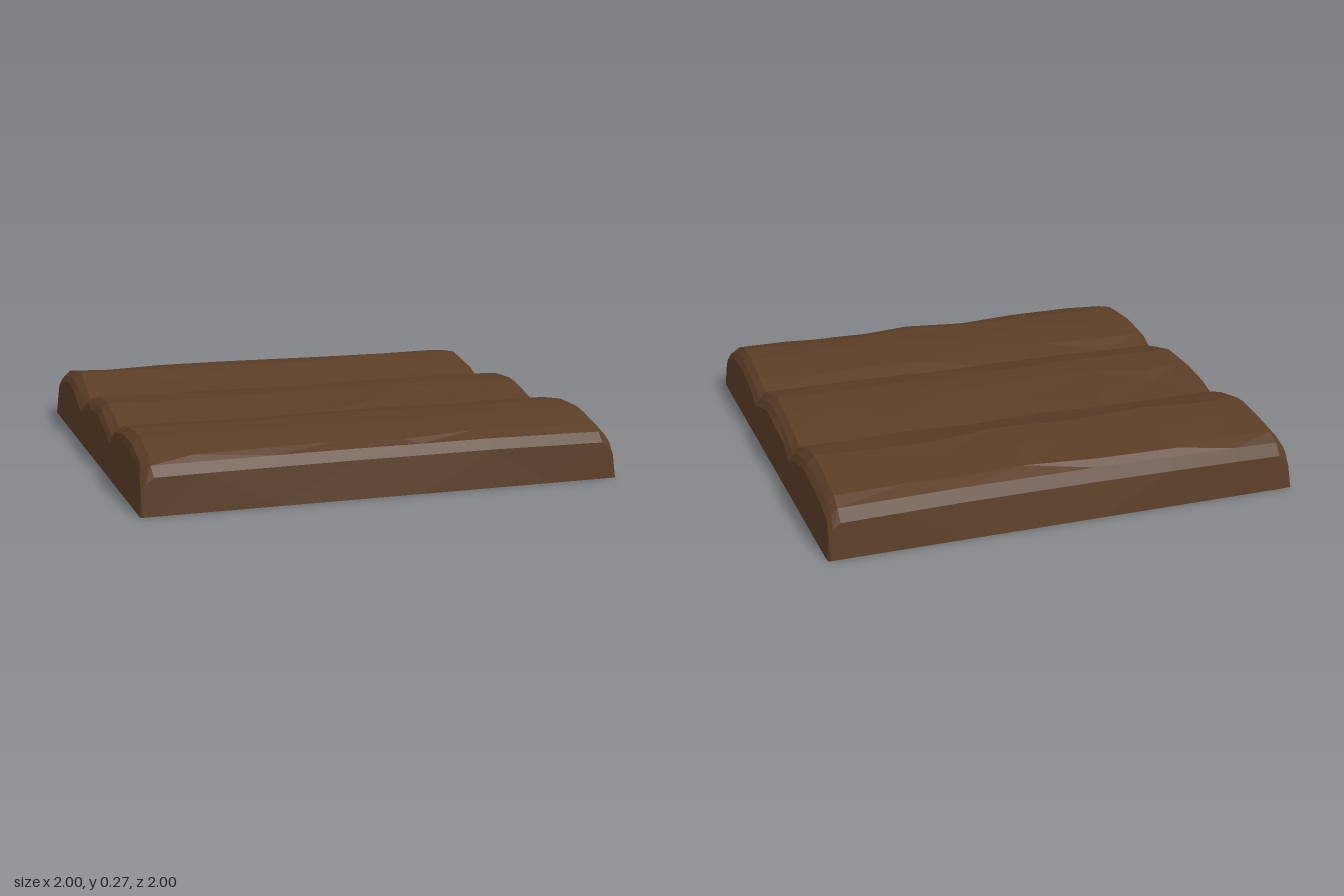
import * as THREE from 'three';

// Profile across the three logs as [z, y], front to back
const PROFILE = [
  [1, 0], [0.99, 0.155], [0.96, 0.195], [0.9, 0.222], [0.76, 0.262], [0.6, 0.264], [0.42, 0.236], [0.325, 0.203],
  [0.2, 0.235], [0.08, 0.264], [-0.08, 0.256], [-0.22, 0.228], [-0.335, 0.203],
  [-0.45, 0.24], [-0.6, 0.272], [-0.74, 0.257], [-0.9, 0.23], [-0.955, 0.2], [-0.985, 0.15], [-1, 0],
];

// Sections along the logs as [x, drop]; the worn ends fall away
const SECTIONS = [
  [-0.99, 0.055], [-0.975, 0.03], [-0.945, 0.006], [-0.75, 0.004], [-0.45, 0.003], [-0.13, 0.002],
  [0.15, 0.002], [0.45, 0], [0.7, 0.002], [0.94, 0.004], [0.97, 0.028], [0.987, 0.055],
];

function seeded(seed) {
  return () => {
    seed = (seed * 16807) % 2147483647;
    return seed / 2147483647 - 0.5;
  };
}

// Hewn upper surface and sides, lofted from the sections
function logGeometry() {
  const rnd = seeded(41);
  const last = PROFILE.length - 1;
  const rows = [
    PROFILE.map(([z]) => [-1, 0, z]),
    ...SECTIONS.map(([x, drop]) => PROFILE.map(([z, y], j) => {
      if (j === 0 || j === last) return [x, 0, z];
      const inner = Math.abs(x) < 0.93 && Math.abs(z) < 0.93;
      const edge = Math.abs(z) > 0.93 ? 0.985 + 0.015 * Math.abs(x) : 1;
      const groove = j === 7 || j === 12;
      const dz = inner ? rnd() * (groove ? 0.02 : 0.07) : 0;
      const dy = inner ? -Math.abs(rnd()) * 0.014 : 0;
      const dx = inner ? rnd() * 0.12 : rnd() * 0.008;
      return [x + dx, y - drop * (groove ? 1.25 : 1) + dy, z * edge + dz];
    })),
    PROFILE.map(([z]) => [1, 0, z]),
  ];
  const index = [];
  const n = PROFILE.length;
  for (let i = 0; i < rows.length - 1; i++) {
    for (let j = 0; j < last; j++) {
      const a = i * n + j, b = a + n;
      if ((i + j) % 2) index.push(a, b, b + 1, a, b + 1, a + 1);
      else index.push(a, b, a + 1, b, b + 1, a + 1);
    }
  }
  const geometry = new THREE.BufferGeometry();
  geometry.setAttribute('position', new THREE.Float32BufferAttribute(rows.flat(2), 3));
  geometry.setIndex(index);
  const flat = geometry.toNonIndexed();
  flat.computeVertexNormals();
  return flat;
}

export function createModel() {
  const group = new THREE.Group();
  group.name = 'logFloor';
  const wood = new THREE.MeshStandardMaterial({ color: 0x5a3d26, flatShading: true });

  const logs = new THREE.Mesh(logGeometry(), wood);
  logs.name = 'logs';

  // Flat underside
  const underside = new THREE.Mesh(new THREE.PlaneGeometry(2, 2).rotateX(Math.PI / 2), wood);
  underside.name = 'underside';

  group.add(logs, underside);
  return group;
}
